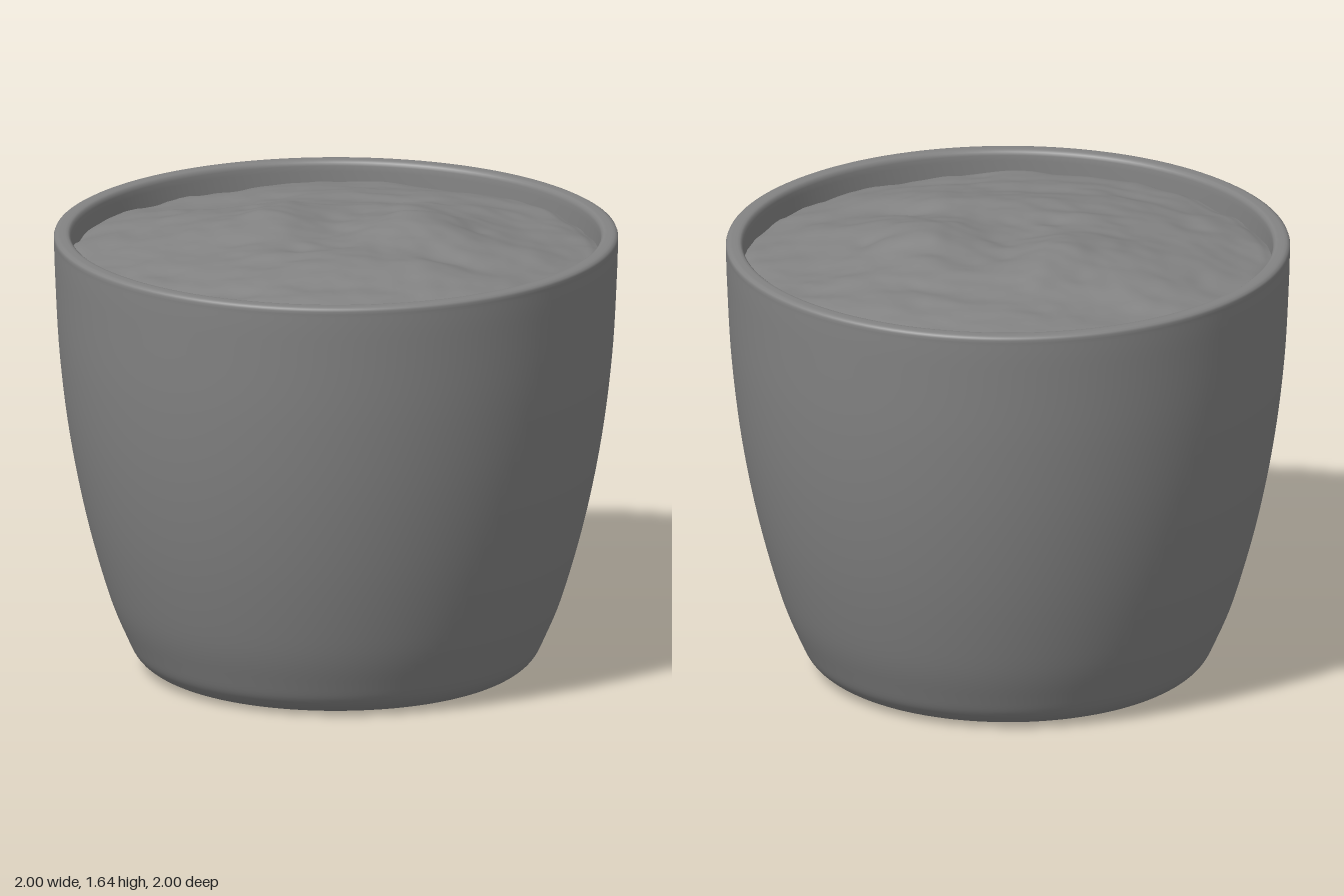
import * as THREE from 'three';
import { mergeVertices } from 'three/addons/utils/BufferGeometryUtils.js';

const vec = ([x, y]) => new THREE.Vector2(x, y);
const spline = (points, count) => new THREE.SplineCurve(points.map(vec)).getPoints(count);

// Mounds and dents of the soil: x, z, radius in x, radius in z, height
const HILLS = [
  [-0.24, -0.1, 0.15, 0.24, 0.05], [0.27, -0.12, 0.2, 0.26, 0.052],
  [0.02, 0.42, 0.4, 0.2, 0.026], [-0.5, -0.05, 0.16, 0.2, 0.022],
  [0.5, -0.02, 0.14, 0.14, 0.014], [0.47, 0.2, 0.13, 0.06, -0.02],
  [0.48, -0.18, 0.06, 0.06, -0.02], [-0.5, 0.5, 0.08, 0.07, -0.015],
  [-0.08, 0.25, 0.06, 0.05, -0.014], [0.1, -0.53, 0.18, 0.05, -0.012],
];

// Smooth seeded noise in the range -1 to 1
function hash(i, j) {
  const s = Math.sin(i * 127.1 + j * 311.7 + 5.3) * 43758.5453;
  return 2 * (s - Math.floor(s)) - 1;
}
function noise(x, z) {
  const i = Math.floor(x), j = Math.floor(z);
  const u = THREE.MathUtils.smoothstep(x - i, 0, 1), v = THREE.MathUtils.smoothstep(z - j, 0, 1);
  const { lerp } = THREE.MathUtils;
  return lerp(lerp(hash(i, j), hash(i + 1, j), u), lerp(hash(i, j + 1), hash(i + 1, j + 1), u), v);
}

function soilHeight(x, z) {
  const r = Math.hypot(x, z);
  let y = 1.51 + 0.075 * (1 - (r / 0.94) ** 2);
  for (const [cx, cz, rx, rz, h] of HILLS) {
    y += h * Math.exp(-(((x - cx) / rx) ** 2) - ((z - cz) / rz) ** 2);
  }
  // Lumps in three sizes, stretched along a slight diagonal
  const u = x - 0.35 * z, v = z + 0.35 * x;
  y += 0.012 * noise(3 * u, 5 * v) + 0.007 * noise(7 * u + 9, 11 * v) + 0.003 * noise(15 * u, 20 * v + 4);
  return y - 0.008 * THREE.MathUtils.smoothstep(r, 0.9, 0.94);
}

export function createModel() {
  const group = new THREE.Group();
  const material = new THREE.MeshStandardMaterial({ color: 0x838383 });

  // Pot: one closed profile, up the outside, over the rim and down the inside
  const profile = [
    vec([0, 0]), vec([0.54, 0]),
    ...spline([[0.58, 0], [0.645, 0.009], [0.705, 0.05], [0.745, 0.125], [0.807, 0.28],
      [0.885, 0.56], [0.944, 0.86], [0.98, 1.16], [0.996, 1.45], [0.999, 1.565]], 48),
    vec([1, 1.575]), vec([0.997, 1.583]), vec([0.988, 1.588]), vec([0.978, 1.589]),
    vec([0.96, 1.589]), vec([0.95, 1.588]), vec([0.942, 1.582]), vec([0.939, 1.57]),
    ...spline([[0.938, 1.55], [0.925, 1.25], [0.88, 0.86], [0.8, 0.45], [0.69, 0.14], [0.58, 0.07]], 24),
    vec([0, 0.07]),
  ];
  const pot = new THREE.Mesh(new THREE.LatheGeometry(profile, 128), material);
  pot.name = 'pot';
  group.add(pot);

  // Soil: a fine disc raised into a low uneven mound
  let disc = new THREE.RingGeometry(0.001, 0.939, 160, 80).rotateX(-Math.PI / 2);
  disc.deleteAttribute('uv');
  disc.deleteAttribute('normal');
  disc = mergeVertices(disc, 1e-5);
  const p = disc.attributes.position;
  for (let i = 0; i < p.count; i++) p.setY(i, soilHeight(p.getX(i), p.getZ(i)));
  disc.computeVertexNormals();
  const soil = new THREE.Mesh(disc, material);
  soil.name = 'soil';
  group.add(soil);

  return group;
}
